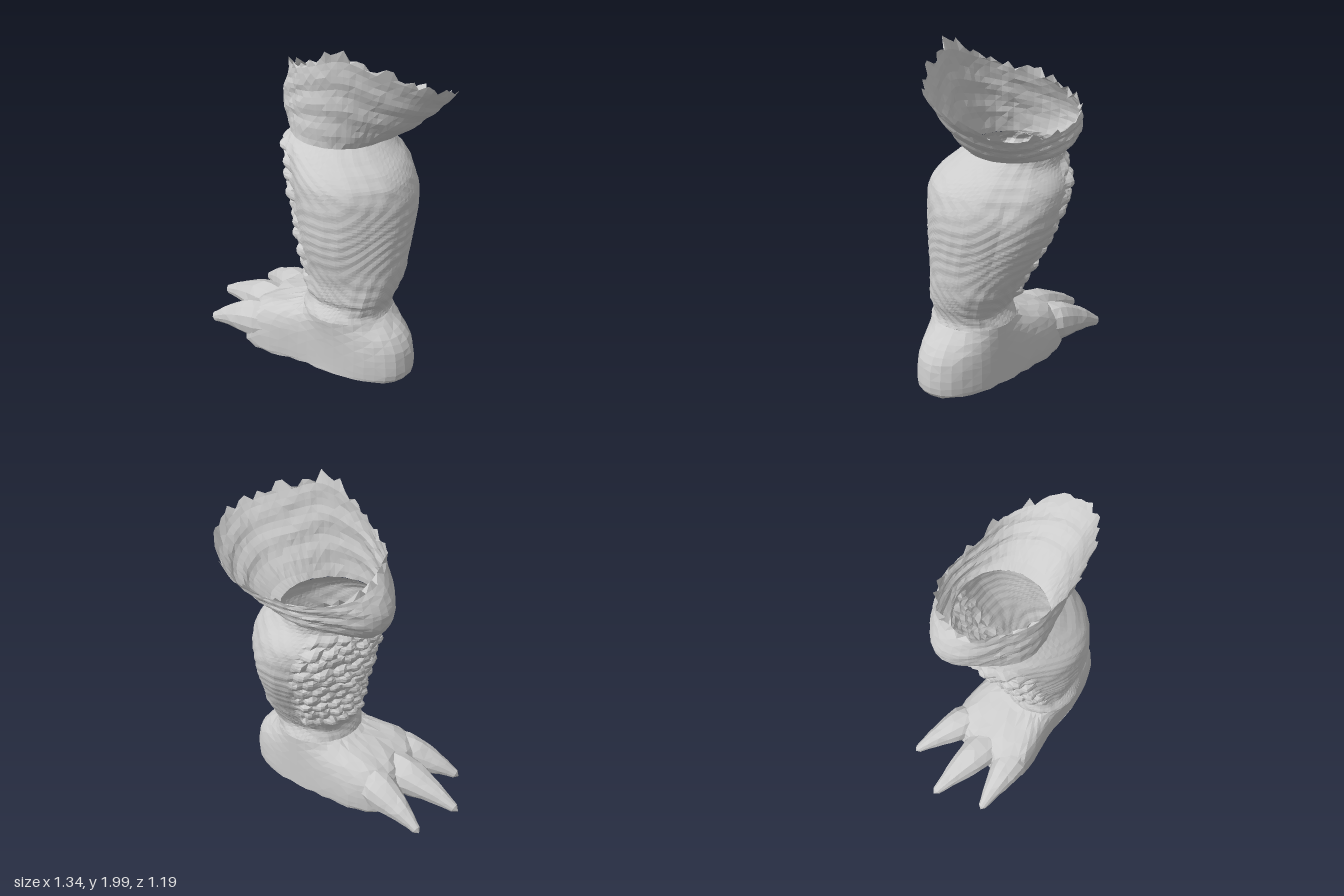
import * as THREE from 'three';

const V = (x, y, z) => new THREE.Vector3(x, y, z);
const { lerp, smoothstep } = THREE.MathUtils;
const material = new THREE.MeshStandardMaterial({ color: 0xcccccc, flatShading: true, side: THREE.DoubleSide });

// repeatable noise in -1..1
const noise = (a, b) => {
  const s = Math.sin(a * 127.1 + b * 311.7) * 43758.5453;
  return 2 * (s - Math.floor(s)) - 1;
};

// skin through closed rings of equal point count
function loft(name, rings, closeStart = null) {
  const n = rings[0].length;
  const pos = rings.flat().flatMap((p) => [p.x, p.y, p.z]);
  const index = [];
  for (let i = 0; i < rings.length - 1; i++) {
    for (let j = 0; j < n; j++) {
      const a = i * n + j, b = i * n + (j + 1) % n, c = a + n, d = b + n;
      if ((i + j) % 2) index.push(a, c, b, b, c, d);
      else index.push(a, c, d, a, d, b);
    }
  }
  if (closeStart) {
    const m = pos.length / 3;
    pos.push(closeStart.x, closeStart.y, closeStart.z);
    for (let j = 0; j < n; j++) index.push(m, j, (j + 1) % n);
  }
  const g = new THREE.BufferGeometry();
  g.setAttribute('position', new THREE.Float32BufferAttribute(pos, 3));
  g.setIndex(index);
  g.computeVertexNormals();
  const mesh = new THREE.Mesh(g, material);
  mesh.name = name;
  return mesh;
}

// shin levels: y, x min, x max, z min, z max
const levels = [
  [0.38, -0.17, 0.35, 0.00, 0.49], [0.41, -0.165, 0.345, 0.01, 0.48], [0.46, -0.145, 0.355, 0.015, 0.485],
  [0.50, -0.155, 0.375, -0.005, 0.50], [0.60, -0.15, 0.42, -0.03, 0.50], [0.80, -0.18, 0.46, -0.10, 0.50],
  [1.00, -0.20, 0.50, -0.18, 0.50], [1.10, -0.21, 0.50, -0.22, 0.495], [1.20, -0.215, 0.475, -0.25, 0.475],
  [1.27, -0.22, 0.44, -0.265, 0.42], [1.33, -0.22, 0.395, -0.27, 0.34], [1.38, -0.19, 0.37, -0.28, 0.27],
];
const centres = new THREE.CatmullRomCurve3(
  levels.map(([y, a, b, c, d]) => V((a + b) / 2, y, (c + d) / 2)), false, 'catmullrom');
const halves = new THREE.CatmullRomCurve3(
  levels.map(([y, a, b, c, d]) => V((b - a) / 2, y, (d - c) / 2)), false, 'catmullrom');

// staggered rounded scales on the toe side
function scaleBump(angle, y) {
  const away = Math.abs(angle - 4.19);
  const fade = (1 - smoothstep(away, 0.95, 1.2)) * smoothstep(y, 0.49, 0.56) * (1 - smoothstep(y, 1.31, 1.37));
  const row = Math.floor(y / 0.085);
  const column = angle * 3.6 + (row % 2) * 0.5 + 0.12 * noise(row, 5);
  const u = 2 * (column - Math.floor(column)) - 1;
  const v = 2 * (y / 0.085 - row) - 1;
  const dome = Math.pow(Math.max(0, 1 - u * u - 0.85 * v * v), 0.6);
  return fade * dome * (0.04 + 0.012 * noise(row, Math.floor(column)));
}

// the calf swells across the diagonal and the ankle narrows there
function calfSwell(angle, y) {
  const lobe = Math.max(0, -Math.sin(2 * angle));
  const outer = angle > Math.PI ? 1 : 0.5;
  const rise = lerp(-0.03, 0.05 * outer, smoothstep(y, 0.45, 0.95));
  return lobe * rise * smoothstep(y, 0.38, 0.46) * (1 - smoothstep(y, 1.2, 1.36));
}

function makeShin() {
  const rings = [], rows = 62, n = 88;
  for (let i = 0; i <= rows; i++) {
    const y = lerp(0.38, 1.38, i / rows);
    const k = Math.min(levels.length - 2, levels.findLastIndex((l) => l[0] <= y));
    const t = (k + (y - levels[k][0]) / (levels[k + 1][0] - levels[k][0])) / (levels.length - 1);
    const c = centres.getPoint(t), h = halves.getPoint(t);
    rings.push(Array.from({ length: n }, (_, j) => {
      const angle = j / n * Math.PI * 2;
      const ripple = 0.004 * Math.sin(13 * angle + 9 * Math.sin(7 * y)) * Math.sin(48 * y + 3 * Math.sin(4 * angle));
      const out = scaleBump(angle, y) + calfSwell(angle, y) + ripple;
      return V(c.x + (h.x + out) * Math.cos(angle), y, c.z + (h.z + out) * Math.sin(angle));
    }));
  }
  return loft('shin', rings);
}

// foot: sole outline drawn in to the ankle
function makeFoot() {
  const n = 44;
  const outline = new THREE.CatmullRomCurve3([
    [0.44, 0.42], [0.40, 0.54], [0.28, 0.60], [0.13, 0.56], [-0.02, 0.46], [-0.20, 0.29], [-0.40, 0.15],
    [-0.49, 0.05], [-0.46, -0.08], [-0.34, -0.16], [-0.23, -0.28], [-0.11, -0.32], [0.02, -0.25],
    [0.15, -0.10], [0.30, 0.10], [0.40, 0.26],
  ].map(([x, z]) => V(x, 0, z)), true).getSpacedPoints(n).slice(0, n);
  const steps = [[0.02, 0.85], [0.01, 0.91], [0.03, 0.98], [0.07, 1.01], [0.12, 1.0], [0.17, 0.96],
    [0.21, 0.90], [0.25, 0.78], [0.285, 0.62], [0.315, 0.44], [0.34, 0.24], [0.365, 0.08], [0.38, 0]];
  const rings = steps.map(([y, w], i) => outline.map((p, j) => {
    const angle = Math.atan2(p.z - 0.245, p.x - 0.09);
    const ankle = V(0.09 + 0.26 * Math.cos(angle), 0, 0.245 + 0.245 * Math.sin(angle));
    // the instep stays fuller than the heel
    const toward = Math.max(0, Math.cos(angle + 2.3)) * Math.sin(Math.PI * w);
    const last = i === steps.length - 1;
    const q = ankle.lerp(p, w + 0.13 * toward + (last ? 0 : 0.015 * noise(i, j)));
    q.y = Math.max(0, y + (last ? 0 : 0.006 * noise(j, i)));
    return q;
  }));
  return loft('foot', rings, V(0, 0.03, 0.15));
}

// toe swelling into a blunt claw that curves down to its tip
function makeClaw(x0, z0, x1, z1, width) {
  const curve = new THREE.QuadraticBezierCurve3(
    V(x0, 0.16, z0), V(x0 * 0.45 + x1 * 0.55, 0.155, z0 * 0.45 + z1 * 0.55), V(x1, 0.055, z1));
  const radii = [0.115, 0.126, 0.128, 0.122, 0.112, 0.098, 0.084, 0.070, 0.056, 0.042, 0.030, 0.001];
  const rings = radii.map((r, i) => {
    const t = Math.min(1, i / (radii.length - 1.4));
    const c = curve.getPoint(t), axis = curve.getTangent(t);
    const side = axis.clone().cross(V(0, 1, 0)).normalize();
    const up = side.clone().cross(axis).normalize();
    return Array.from({ length: 12 }, (_, j) => {
      const a = j / 12 * Math.PI * 2, s = r * (1 + 0.04 * noise(i, j + x0 * 10));
      const p = c.clone().addScaledVector(side, Math.cos(a) * s * width).addScaledVector(up, Math.sin(a) * s);
      p.y = Math.max(p.y, 0.02);
      return p;
    });
  });
  return loft('claw', rings);
}

// open, folded collar flaring from the neck to a torn rim, with the knee bulging on the toe side
function makeCollar() {
  const n = 72, rows = 14;
  const rim = new THREE.CatmullRomCurve3([
    V(0.62, 1.59, 0.08), V(0.65, 1.64, 0.25), V(0.60, 1.72, 0.42), V(0.45, 1.81, 0.53), V(0.20, 1.90, 0.47),
    V(0.02, 1.965, 0.37), V(-0.12, 1.88, 0.20), V(-0.17, 1.80, 0.02), V(-0.165, 1.73, -0.15), V(-0.07, 1.68, -0.27),
    V(0.10, 1.62, -0.35), V(0.30, 1.58, -0.29), V(0.47, 1.56, -0.11),
  ], true).getSpacedPoints(n).slice(0, n);
  const rings = [];
  for (let i = 0; i <= rows; i++) {
    const t = i / rows;
    rings.push(rim.map((p, j) => {
      const angle = Math.atan2(p.z + 0.01, p.x - 0.1);
      const cos = Math.cos(angle), sin = Math.sin(angle);
      const knee = Math.exp(-Math.pow(Math.cos((angle + 2.1) / 2) > 0 ? Math.sin((angle + 2.1) / 2) / 0.28 : 9, 2));
      const w = Math.pow(t, 0.9 - 0.25 * Math.max(0, cos));
      const fold = 0.007 * Math.sin(t * 20 + 2 * Math.sin(angle * 2)) * Math.sin(t * Math.PI) * (1 - knee)
        + 0.003 * noise(i, j);
      const out = fold + knee * (0.115 * Math.pow(Math.sin(Math.PI * Math.pow(t, 0.85)), 0.8) + 0.025 * (1 - t));
      const q = V(
        lerp(0.09 + 0.28 * cos, p.x, w) + out * cos,
        lerp(1.38 - 0.08 * knee, p.y, t),
        lerp(-0.005 + 0.275 * sin, p.z, w) + out * sin);
      if (i === rows) {
        const tear = 0.035 * noise(j, 77);
        q.add(V(tear * 0.6 * cos, tear, tear * 0.6 * sin));
      }
      return q;
    }));
  }
  return loft('collar', rings);
}

export function createModel() {
  const leg = new THREE.Group();
  leg.name = 'leg';
  leg.add(makeFoot(), makeShin(), makeCollar());
  leg.add(
    makeClaw(-0.09, -0.19, -0.26, -0.59, 0.8),
    makeClaw(-0.24, -0.07, -0.55, -0.49, 0.9),
    makeClaw(-0.33, 0.07, -0.675, -0.2, 0.85));
  return leg;
}
